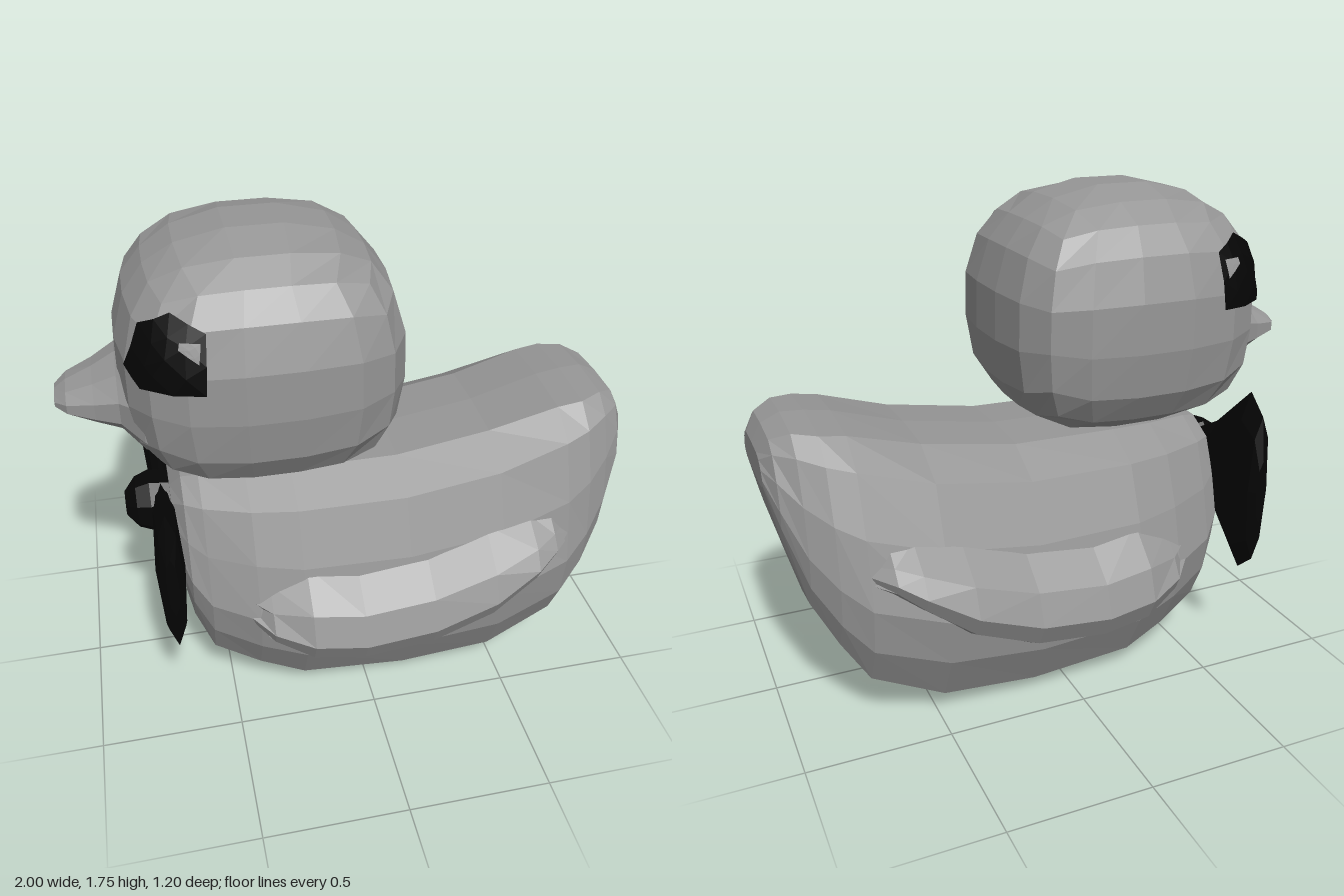
import * as THREE from 'three';

const grey = new THREE.MeshStandardMaterial({ color: 0x969696 });
grey.name = 'grey';
const black = new THREE.MeshStandardMaterial({ color: 0x050505 });
black.name = 'black';

// Faceted geometry from a list of corner triples
function faceted(points) {
  const g = new THREE.BufferGeometry().setFromPoints(points);
  g.computeVertexNormals();
  return g;
}

// Skin over closed rings of points, capped at both ends, always facing outwards
function loft(rings) {
  const tris = [];
  const n = rings[0].length;
  const middle = (r) => r.reduce((s, p) => s.add(p), new THREE.Vector3()).divideScalar(n);
  const first = middle(rings[0]);
  const last = middle(rings[rings.length - 1]);
  for (let j = 0; j < n; j++) {
    const k = (j + 1) % n;
    tris.push([first, rings[0][k], rings[0][j]]);
    tris.push([last, rings[rings.length - 1][j], rings[rings.length - 1][k]]);
    for (let i = 0; i < rings.length - 1; i++) {
      const a = rings[i], b = rings[i + 1];
      tris.push([a[j], a[k], b[k]], [a[j], b[k], b[j]]);
    }
  }
  const cross = new THREE.Vector3();
  const volume = tris.reduce((s, t) => s + t[0].dot(cross.crossVectors(t[1], t[2])), 0);
  if (volume < 0) tris.forEach((t) => t.reverse());
  return faceted(tris.flat());
}

function add(group, name, geometry, material) {
  const mesh = new THREE.Mesh(geometry, material);
  mesh.name = name;
  group.add(mesh);
}

// Head: a rounded box, squarer at the back and underneath
const HEAD = { x: -0.31, y: 1.33, rx: 0.477, ry: 0.427, rz: 0.452 };
const flatPower = (x) => (x < 0 ? 3.1 : 3.5);
const risePower = (y) => (y < 0 ? 3.1 : 2.4);

function headGeometry() {
  const g = new THREE.BoxGeometry(2, 2, 2, 5, 5, 5).toNonIndexed();
  const p = g.attributes.position;
  for (let i = 0; i < p.count; i++) {
    const x = p.getX(i), y = p.getY(i), z = p.getZ(i);
    const a = flatPower(x), b = risePower(y);
    const len = ((Math.abs(x) ** a + Math.abs(z) ** a) ** (b / a) + Math.abs(y) ** b) ** (1 / b);
    p.setXYZ(i, HEAD.x + (HEAD.rx * x) / len, HEAD.y + (HEAD.ry * y) / len, (HEAD.rz * z) / len);
  }
  g.computeVertexNormals();
  return g;
}

// Patch laid on the side of the head, from an outline in x and y
function headPatch(outline, side, swell) {
  const onHead = ([x, y]) => {
    const dx = x - HEAD.x, dy = y - HEAD.y;
    const a = flatPower(dx), b = risePower(dy);
    const rest = (1 - Math.abs(dy / HEAD.ry) ** b) ** (a / b) - Math.abs(dx / HEAD.rx) ** a;
    const z = HEAD.rz * Math.max(0, rest) ** (1 / a);
    return new THREE.Vector3(HEAD.x + dx * swell, HEAD.y + dy * swell, side * z * swell);
  };
  const mix = (a, b) => [(a[0] + b[0]) / 2, (a[1] + b[1]) / 2];
  const n = outline.length;
  const mid = [0, 1].map((c) => outline.reduce((s, p) => s + p[c], 0) / n);
  const tris = [];
  outline.forEach((a, i) => {
    const b = outline[(i + 1) % n];
    const ma = mix(mid, a), mb = mix(mid, b), ab = mix(a, b);
    for (const t of [[mid, ma, mb], [ma, a, ab], [ma, ab, mb], [mb, ab, b]]) {
      const corners = t.map(onHead);
      tris.push(...(side > 0 ? corners : corners.reverse()));
    }
  });
  return faceted(tris);
}

// Ring of n points, starting half a step round
function ellipse(n, fn) {
  return Array.from({ length: n }, (_, i) => {
    const a = ((i + 0.5) / n) * Math.PI * 2;
    return fn(Math.cos(a), Math.sin(a));
  });
}

export function createModel() {
  const model = new THREE.Group();
  model.name = 'toyDuck';

  // Body: sections along x as [x, bottom, top, half width, tail share]
  const belly = [[0, 1], [0.42, 0.99], [0.72, 0.9], [0.88, 0.68], [1, 0.43], [0.94, 0.25], [0.76, 0.06], [0.4, 0.01], [0, 0]];
  const tail = [[0, 1], [0.55, 0.98], [0.76, 0.88], [0.92, 0.64], [1, 0.36], [0.95, 0.17], [0.8, 0.03], [0.4, 0], [0, 0]];
  const section = ([x, lo, hi, w, t]) => {
    const half = belly.map(([z, y], i) => [
      w * THREE.MathUtils.lerp(z, tail[i][0], t),
      lo + (hi - lo) * THREE.MathUtils.lerp(y, tail[i][1], t),
    ]);
    return [...half, ...half.slice(1, -1).reverse().map(([z, y]) => [-z, y])].map(([z, y]) => new THREE.Vector3(x, y, z));
  };
  const body = [
    [-0.66, 0.5, 0.82, 0.24, 0], [-0.62, 0.3, 0.88, 0.33, 0], [-0.56, 0.155, 0.895, 0.38, 0], [-0.4, 0.09, 0.9, 0.455, 0],
    [-0.24, 0.025, 0.905, 0.49, 0], [0.14, 0, 0.91, 0.5, 0], [0.48, 0.025, 0.965, 0.5, 0], [0.73, 0.155, 1.04, 0.455, 0.5],
    [0.82, 0.31, 1.055, 0.405, 1], [0.9, 0.46, 1.06, 0.34, 1], [0.965, 0.7, 1.03, 0.265, 1], [1, 0.86, 0.97, 0.18, 1],
  ];
  add(model, 'body', loft(body.map(section)), grey);

  // Wings: ridge along x as [x, y, z, size], blending upwards into the body
  const ridge = [
    [-0.44, 0.45, 0.43, 0.25], [-0.36, 0.42, 0.52, 0.6], [-0.23, 0.39, 0.58, 1], [-0.05, 0.375, 0.6, 1],
    [0.2, 0.4, 0.6, 1], [0.42, 0.48, 0.595, 0.9], [0.58, 0.57, 0.56, 0.6], [0.66, 0.61, 0.51, 0.4], [0.73, 0.62, 0.43, 0.2],
  ];
  for (const s of [1, -1]) {
    add(model, s > 0 ? 'leftWing' : 'rightWing', loft(ridge.map(([x, y, z, k]) => [
      [y + 0.26 * k, 0.36], [y + 0.23 * k, 0.41], [y + 0.11 * k, z - 0.04], [y, z],
      [y - 0.08 * k, z - 0.04 * k], [y - 0.14 * k, 0.45], [y - 0.15 * k, 0.36],
    ].map(([py, pz]) => new THREE.Vector3(x, py, s * Math.min(pz, z))))), grey);
  }

  add(model, 'head', headGeometry(), grey);

  // Beak: rings as [x, y, half height, half width]
  const beak = [[-0.6, 1.17, 0.2, 0.34], [-0.72, 1.18, 0.19, 0.3], [-0.79, 1.19, 0.125, 0.21],
    [-0.87, 1.18, 0.09, 0.165], [-0.96, 1.18, 0.05, 0.125], [-1, 1.175, 0.025, 0.07]];
  add(model, 'beak', loft(beak.map(([x, y, h, w]) =>
    ellipse(10, (c, d) => new THREE.Vector3(x, y + h * d, w * c)))), grey);

  // Eyes with a small glint
  const eye = [[-0.75, 1.41], [-0.71, 1.36], [-0.52, 1.365], [-0.505, 1.55], [-0.6, 1.597], [-0.695, 1.55]];
  const glint = [[-0.585, 1.505], [-0.53, 1.465], [-0.52, 1.525], [-0.58, 1.525]];
  for (const s of [1, -1]) {
    const side = s > 0 ? 'left' : 'right';
    add(model, side + 'Eye', headPatch(eye, s, 1.018), black);
    add(model, side + 'Glint', headPatch(glint, s, 1.032), grey);
  }

  // Bow tie: two flared loops as [z, half height, half depth] and a knot
  const bow = [[0.04, 0.08, 0.03], [0.2, 0.17, 0.04], [0.4, 0.35, 0.05], [0.48, 0.28, 0.04], [0.505, 0.12, 0.02]];
  for (const s of [1, -1]) {
    add(model, s > 0 ? 'leftBowLoop' : 'rightBowLoop', loft(bow.map(([z, h, d]) =>
      Array.from({ length: 8 }, (_, i) => {
        const a = (i / 8) * Math.PI * 2;
        return new THREE.Vector3(-0.69 + d * Math.cos(a), 0.69 + h * Math.sin(a), s * z);
      }))), black);
  }
  const knot = [[-0.64, 0.1], [-0.73, 0.115], [-0.78, 0.095], [-0.82, 0.045]];
  add(model, 'bowKnot', loft(knot.map(([x, r]) =>
    ellipse(8, (c, d) => new THREE.Vector3(x, 0.69 + r * d, r * c)))), black);

  return model;
}
